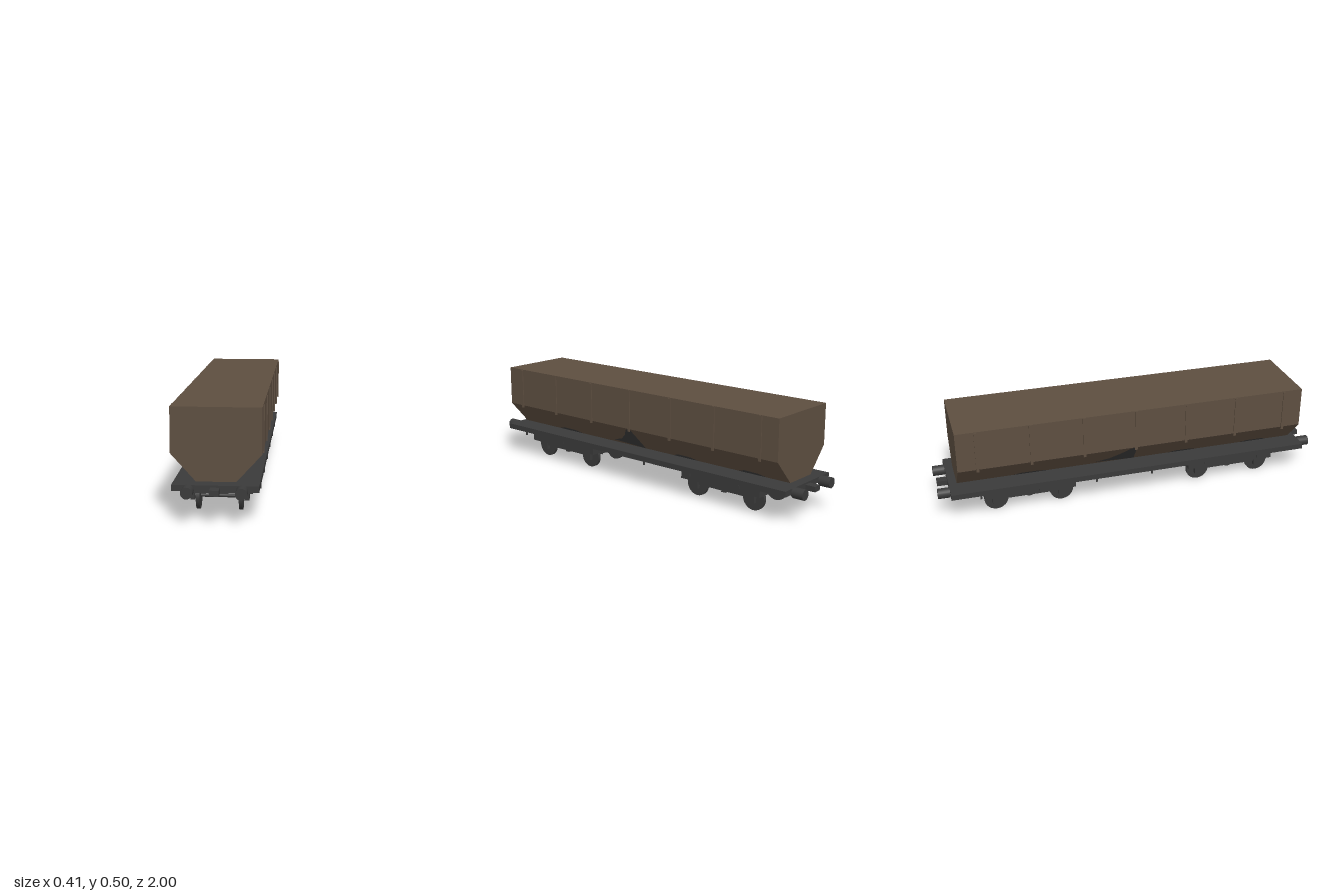
import * as THREE from 'three';

export function createModel() {
  const model = new THREE.Group();
  model.name = 'hopperWagon';
  const brown = new THREE.MeshStandardMaterial({ color: 0x5d4e40 });
  brown.name = 'weathered brown';
  const iron = new THREE.MeshStandardMaterial({ color: 0x3a3a3a, side: THREE.DoubleSide });
  iron.name = 'dark iron';

  const add = (parent, name, geometry, material, x = 0, y = 0, z = 0) => {
    const mesh = new THREE.Mesh(geometry, material);
    mesh.name = name;
    mesh.position.set(x, y, z);
    parent.add(mesh);
    return mesh;
  };
  const box = (parent, name, w, y0, y1, d, x, z, material = iron) =>
    add(parent, name, new THREE.BoxGeometry(w, y1 - y0, d), material, x, (y0 + y1) / 2, z);

  // Closed hopper body with sloped lower sides
  const half = 0.9;
  const section = new THREE.Shape([
    [-0.088, 0.172], [0.088, 0.172], [0.2, 0.295], [0.2, 0.5], [-0.2, 0.5], [-0.2, 0.295],
  ].map(([x, y]) => new THREE.Vector2(x, y)));
  add(model, 'hopperBody', new THREE.ExtrudeGeometry(section, { depth: 2 * half, bevelEnabled: false }), brown, 0, 0, -half);

  // Dark patches on the slopes, given as z, y outlines laid on the slope
  const arc = (z, r) => [[z - r, 0.174], [z - r * 0.5, 0.186], [z + r * 0.5, 0.188], [z + r, 0.174]];
  const patches = [
    [[-0.02, 0.174], [0.19, 0.188], [0.12, 0.21], [0.07, 0.245], [0.03, 0.285], [0.01, 0.294], [-0.005, 0.294]],
    arc(0.53, 0.09), arc(-0.285, 0.08), arc(-0.69, 0.08),
  ];

  for (const s of [-1, 1]) {
    // Each side is the other turned half round
    const side = new THREE.Group();
    side.name = s > 0 ? 'leftSide' : 'rightSide';
    side.rotation.y = s > 0 ? 0 : Math.PI;
    model.add(side);
    for (let i = -3; i <= 3; i++) box(side, 'bodyRib', 0.006, 0.283, 0.497, 0.014, 0.202, i * 0.2675, brown);
    for (let i = 0; i < 6; i++) box(side, 'deckBracket', 0.006, 0.121, 0.14, 0.009, 0.188, 0.795 - i * 0.295);
    for (const outline of patches) {
      const g = new THREE.ShapeGeometry(new THREE.Shape(outline.map(([z, y]) => new THREE.Vector2(z, y))));
      const p = g.attributes.position;
      for (let i = 0; i < p.count; i++) {
        const z = p.getX(i), y = p.getY(i);
        p.setXYZ(i, 0.089 + (y - 0.172) * 0.112 / 0.123, y - 0.001, z);
      }
      // Reversed corners turn the outer face outward
      const index = g.index.array;
      for (let i = 0; i < index.length; i += 3) [index[i], index[i + 1]] = [index[i + 1], index[i]];
      g.computeVertexNormals();
      add(side, 'slopePatch', g, iron);
    }
  }

  // Flat underframe
  box(model, 'deck', 0.38, 0.137, 0.165, 1.88, 0, 0);

  // Buffers and couplers at both ends
  const bufferGeometry = new THREE.CylinderGeometry(0.026, 0.026, 0.06, 20).rotateX(Math.PI / 2);
  for (const e of [-1, 1]) {
    for (const s of [-1, 1]) add(model, 'buffer', bufferGeometry, iron, s * 0.117, 0.143, e * 0.97);
    box(model, 'coupler', 0.042, 0.13, 0.156, 0.06, 0, e * 0.962);
  }

  // Two bogies: open frame, bolster, axles and wheels
  const wheelGeometry = new THREE.CylinderGeometry(0.061, 0.061, 0.017, 24).rotateZ(Math.PI / 2);
  const axleGeometry = new THREE.CylinderGeometry(0.008, 0.008, 0.24, 10).rotateZ(Math.PI / 2);
  for (const e of [-1, 1]) {
    const bogie = new THREE.Group();
    bogie.name = e > 0 ? 'frontBogie' : 'rearBogie';
    bogie.position.z = e * 0.541;
    model.add(bogie);
    for (const s of [-1, 1]) {
      box(bogie, 'sideFrame', 0.036, 0.088, 0.123, 0.47, s * 0.134, 0);
      box(bogie, 'endBeam', 0.304, 0.088, 0.123, 0.04, 0, s * 0.215);
      box(bogie, 'equalizerBar', 0.014, 0.066, 0.088, 0.31, s * 0.12, 0);
      box(bogie, 'sideBearing', 0.016, 0.121, 0.13, 0.04, s * 0.132, 0);
      box(bogie, 'springHanger', 0.014, 0.055, 0.088, 0.025, s * 0.11, 0);
      const z = s * 0.169;
      add(bogie, 'axle', axleGeometry, iron, 0, 0.061, z);
      for (const t of [-1, 1]) {
        add(bogie, 'wheel', wheelGeometry, iron, t * 0.097, 0.061, z);
        box(bogie, 'axleBox', 0.018, 0.045, 0.09, 0.045, t * 0.124, z);
      }
    }
    box(bogie, 'bolster', 0.25, 0.088, 0.118, 0.06, 0, 0);
    box(bogie, 'brakeBeam', 0.22, 0.056, 0.072, 0.02, 0, 0);
    box(bogie, 'centreBlock', 0.066, 0.07, 0.09, 0.06, 0, 0);
    add(bogie, 'pivot', new THREE.CylinderGeometry(0.02, 0.02, 0.025, 16), iron, 0, 0.127, 0);
  }
  return model;
}
